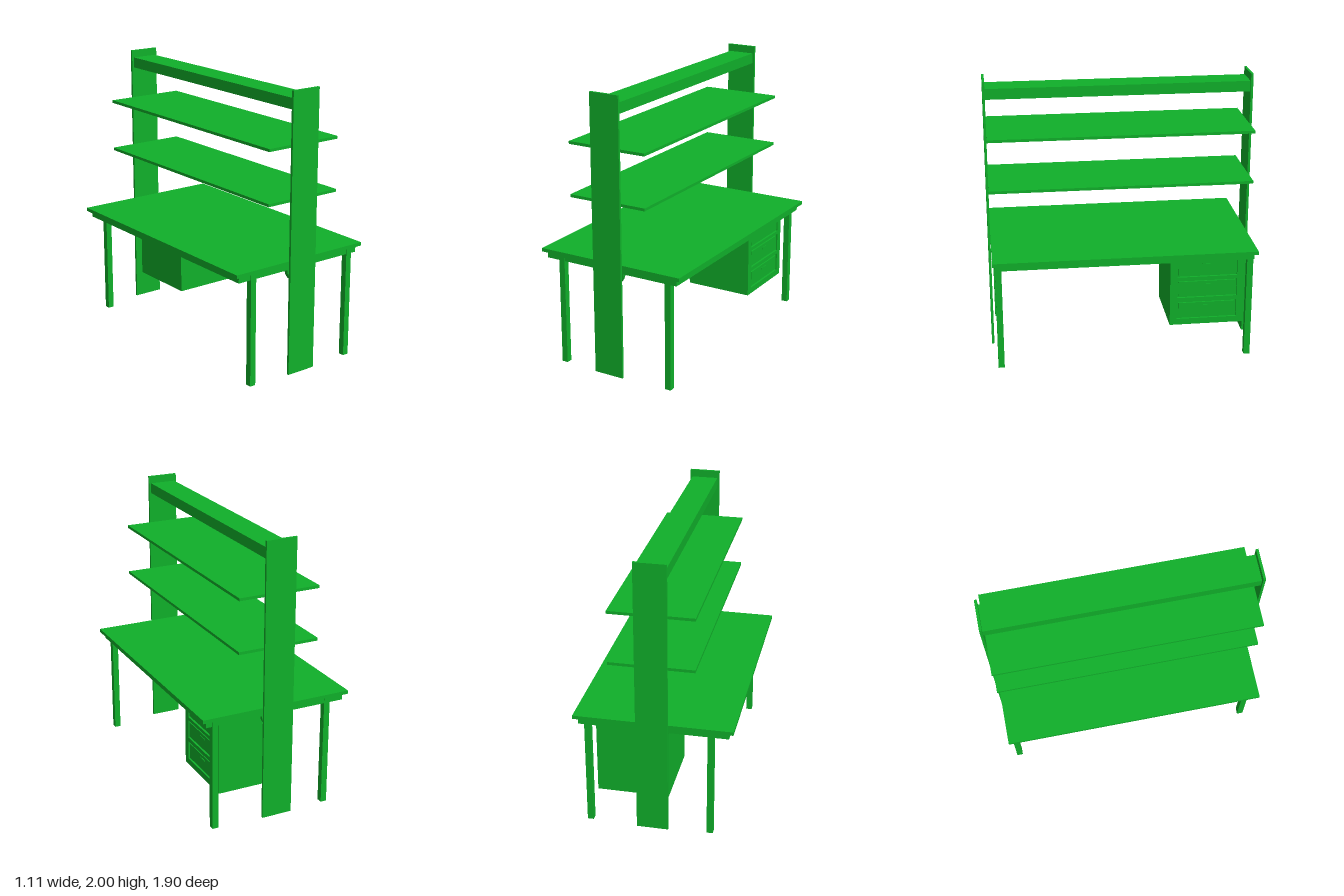
import * as THREE from 'three';

const green = new THREE.MeshStandardMaterial({ color: 0x10b02a });

// Box given by its min/max extents on each axis
function slab(parent, name, [x0, x1], [y0, y1], [z0, z1]) {
  const mesh = new THREE.Mesh(new THREE.BoxGeometry(x1 - x0, y1 - y0, z1 - z0), green);
  mesh.position.set((x0 + x1) / 2, (y0 + y1) / 2, (z0 + z1) / 2);
  mesh.name = name;
  parent.add(mesh);
  return mesh;
}

// Closed rectangle path in (u, v)
function rect(path, u0, u1, v0, v1) {
  path.moveTo(u0, v0);
  path.lineTo(u1, v0);
  path.lineTo(u1, v1);
  path.lineTo(u0, v1);
  path.closePath();
  return path;
}

// Drawer cabinet, its drawers facing +x
function createCabinet() {
  const cabinet = new THREE.Group();
  cabinet.name = 'drawerCabinet';
  const z = [-0.865, -0.33], y = [0.23, 0.765];
  const bottoms = [0.275, 0.44, 0.6];
  const height = 0.135, z0 = -0.815, z1 = -0.38, gap = 0.012;
  slab(cabinet, 'cabinetBody', [-0.1, 0.39], y, z);

  // Front plate with an opening per drawer; the shape's u axis is -z
  const face = rect(new THREE.Shape(), -z[1], -z[0], y[0], y[1]);
  for (const b of bottoms) face.holes.push(rect(new THREE.Path(), -z1, -z0, b, b + height));
  const plate = new THREE.Mesh(
    new THREE.ExtrudeGeometry(face, { depth: 0.015, bevelEnabled: false }), green);
  plate.rotation.y = Math.PI / 2;
  plate.position.x = 0.39;
  plate.name = 'cabinetFront';
  cabinet.add(plate);

  // Drawer fronts with a shadow gap around them, and slim handles
  for (const b of bottoms) {
    slab(cabinet, 'drawerFront', [0.385, 0.401],
      [b + gap, b + height - gap], [z0 + gap, z1 - gap]);
    slab(cabinet, 'drawerHandle', [0.4, 0.405], [b + 0.087, b + 0.1], [-0.633, -0.562]);
  }
  return cabinet;
}

export function createModel() {
  const desk = new THREE.Group();
  desk.name = 'shelfDesk';

  // Table
  slab(desk, 'tableTop', [-0.553, 0.553], [0.81, 0.835], [-0.93, 0.93]);
  slab(desk, 'apron', [-0.52, 0.52], [0.765, 0.811], [-0.908, 0.908]);
  for (const s of [-1, 1]) {
    const z = s < 0 ? [-0.912, -0.868] : [0.868, 0.912];
    slab(desk, 'leg', [-0.42, -0.376], [0, 0.81], z);
    slab(desk, 'leg', [0.432, 0.476], [0, 0.81], z);
  }

  // End panels and the rounded brackets tying them to the table
  for (const s of [-1, 1]) {
    const outer = s < 0 ? [-0.948, -0.931] : [0.931, 0.948];
    slab(desk, 'endPanel', [-0.111, 0.111], [0.012, 2], outer);
    const half = new THREE.Shape();
    half.absarc(0, 0, 0.105, Math.PI, 2 * Math.PI, false);
    half.closePath();
    const bracket = new THREE.Mesh(
      new THREE.ExtrudeGeometry(half, { depth: 0.03, bevelEnabled: false, curveSegments: 16 }), green);
    bracket.position.set(0, 0.77, s < 0 ? -0.908 : 0.878);
    bracket.name = 'bracket';
    desk.add(bracket);
  }

  // Shelves and top beam
  for (const y of [1.25, 1.62]) {
    slab(desk, 'shelf', [-0.295, 0.295], [y, y + 0.02], [-0.932, 0.932]);
  }
  slab(desk, 'topBeam', [-0.096, 0.096], [1.87, 1.946], [-0.932, 0.932]);

  desk.add(createCabinet());
  return desk;
}
